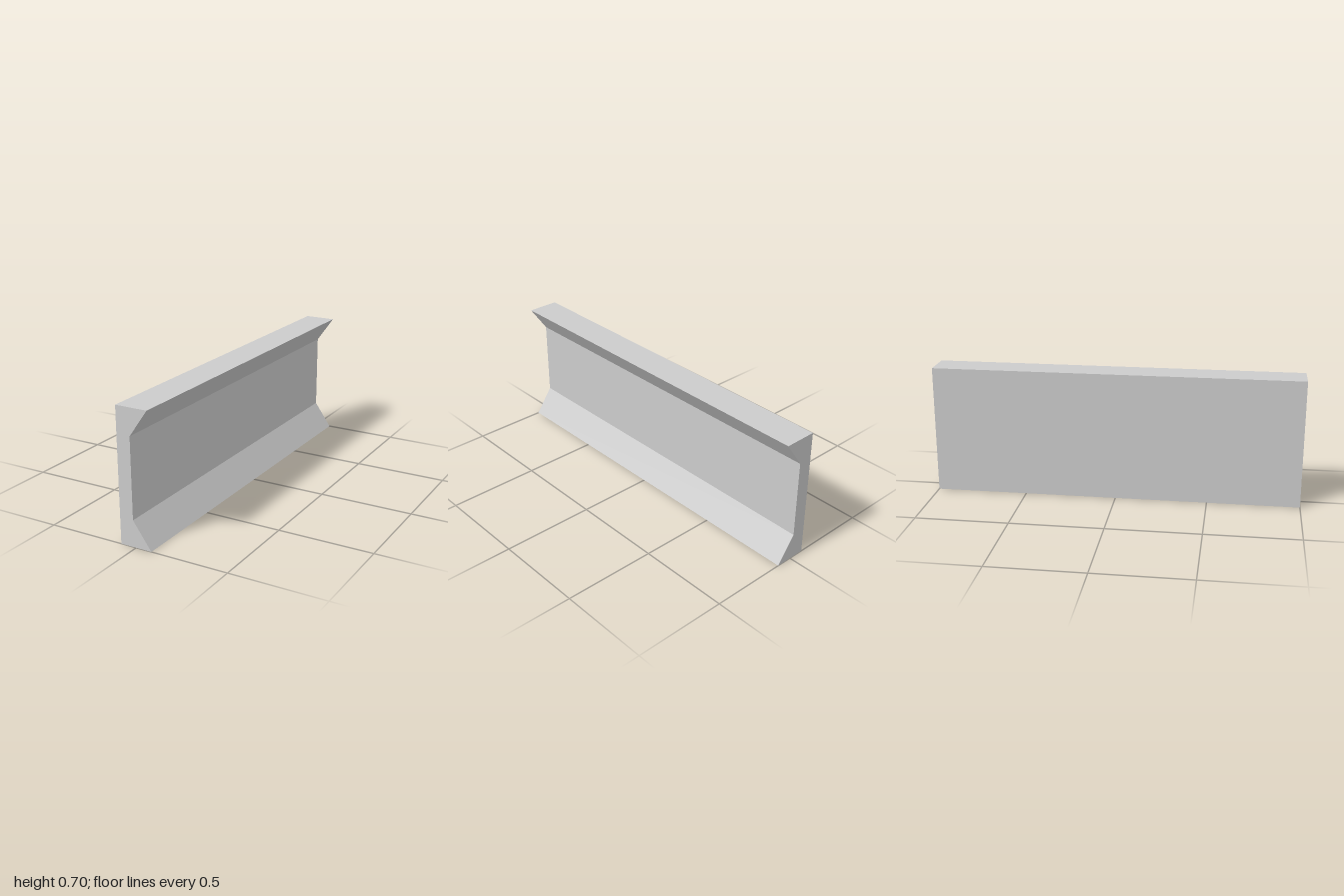
import * as THREE from 'three';

const HEIGHT = 0.7, LENGTH = 2, HALF_WIDTH = 0.0865, WEB_X = -0.0125, FLARE = 0.14;

export function createModel() {
  const group = new THREE.Group();
  group.name = 'channelBarrier';

  // Cross-section: flat on -x, flared lips at top and bottom on +x
  const profile = new THREE.Shape([
    [-HALF_WIDTH, 0],
    [HALF_WIDTH, 0],
    [WEB_X, FLARE],
    [WEB_X, HEIGHT - FLARE],
    [HALF_WIDTH, HEIGHT],
    [-HALF_WIDTH, HEIGHT],
  ].map(([x, y]) => new THREE.Vector2(x, y)));

  // Beam: profile swept along z
  const geometry = new THREE.ExtrudeGeometry(profile, { depth: LENGTH, bevelEnabled: false });
  geometry.translate(0, 0, -LENGTH / 2);

  const beam = new THREE.Mesh(
    geometry,
    new THREE.MeshStandardMaterial({ color: 0xcccccc, flatShading: true }),
  );
  beam.name = 'channelBeam';
  group.add(beam);
  return group;
}
